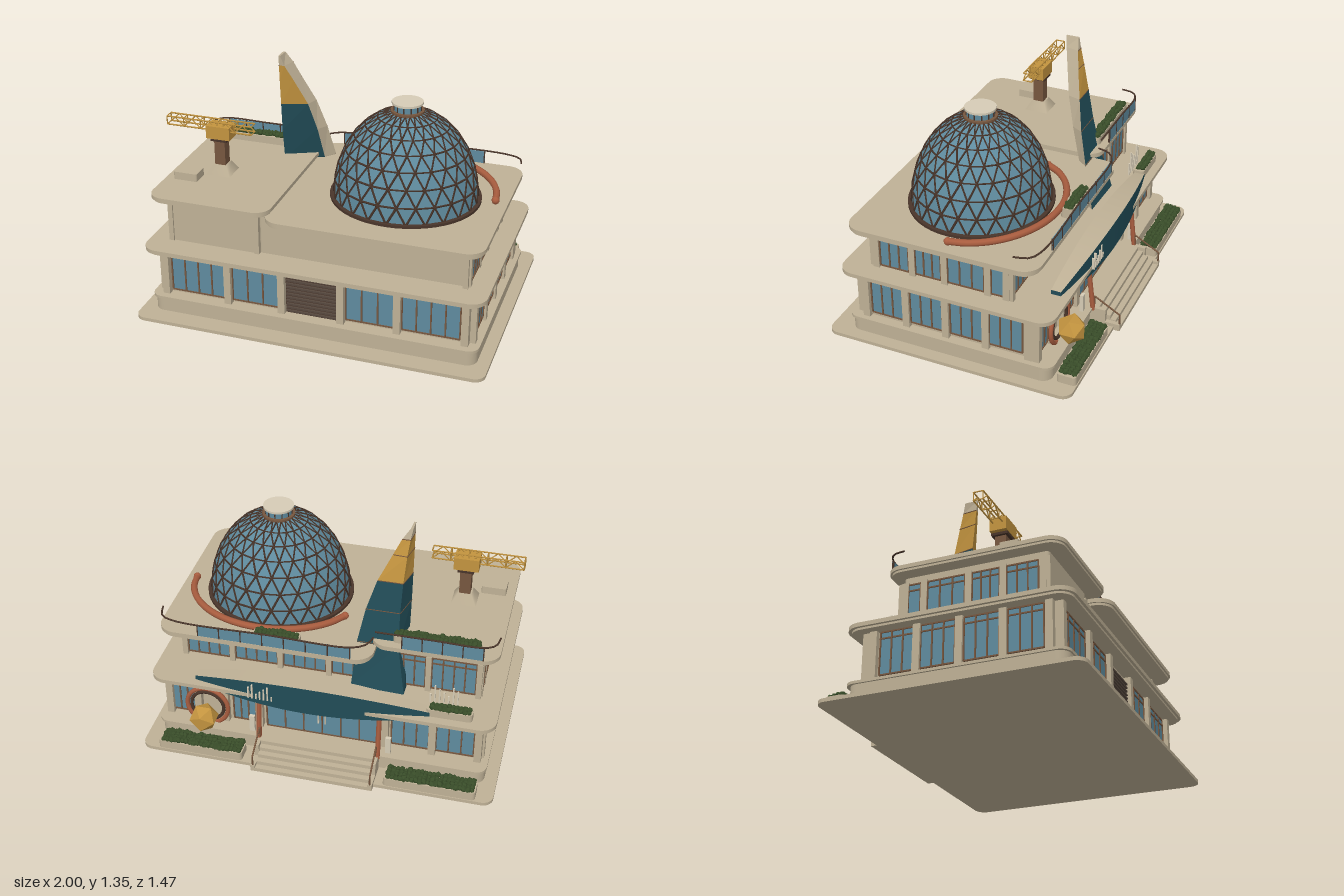
import * as THREE from 'three';
import { mergeGeometries } from 'three/addons/utils/BufferGeometryUtils.js';

const mat = (name, color, o = {}) => Object.assign(new THREE.MeshStandardMaterial({ color, ...o }), { name });
const V = (x, y, z) => new THREE.Vector3(x, y, z);

export function createModel() {
  const root = new THREE.Group();
  root.name = 'domedBuilding';
  const stone = mat('stone', 0xbfb196), glass = mat('glass', 0x5f8b9e), bronze = mat('darkBronze', 0x49352a);
  const frame = mat('windowFrame', 0x77573f), rust = mat('rust', 0xa95d3f), gold = mat('gold', 0xc3943f);
  const teal = mat('teal', 0x214c57), green = mat('foliage', 0x394d29), grille = mat('grille', 0x56483e);
  const pale = mat('paleStone', 0xd6ccb6);

  const add = (name, geo, m, parent = root) => {
    const mesh = new THREE.Mesh(geo, m);
    mesh.name = name;
    parent.add(mesh);
    return mesh;
  };
  const group = (name) => {
    const g = new THREE.Group();
    g.name = name;
    root.add(g);
    return g;
  };
  const box = (name, m, x0, x1, y0, y1, z0, z1, parent) => {
    const b = add(name, new THREE.BoxGeometry(x1 - x0, y1 - y0, z1 - z0), m, parent);
    b.position.set((x0 + x1) / 2, (y0 + y1) / 2, (z0 + z1) / 2);
    return b;
  };
  // flat slab with rounded plan corners
  const slab = (name, x0, x1, y0, y1, z0, z1, r, m = stone) => {
    const s = new THREE.Shape(), a = -z1, b = -z0, H = Math.PI / 2;
    s.absarc(x1 - r, a + r, r, -H, 0);
    s.absarc(x1 - r, b - r, r, 0, H);
    s.absarc(x0 + r, b - r, r, H, 2 * H);
    s.absarc(x0 + r, a + r, r, 2 * H, 3 * H);
    const g = new THREE.ExtrudeGeometry(s, { depth: y1 - y0, bevelEnabled: false, curveSegments: 8 });
    g.rotateX(-H);
    return add(name, g.translate(0, y0, 0), m);
  };
  const barGeo = (a, b, r, n = 4) => {
    const d = b.clone().sub(a);
    const g = new THREE.CylinderGeometry(r, r, d.length(), n);
    g.applyQuaternion(new THREE.Quaternion().setFromUnitVectors(V(0, 1, 0), d.normalize()));
    const c = a.clone().add(b).multiplyScalar(0.5);
    return g.translate(c.x, c.y, c.z);
  };
  const tube = (name, pts, r, m, parent) =>
    add(name, new THREE.TubeGeometry(new THREE.CatmullRomCurve3(pts), pts.length * 5, r, 8), m, parent);

  // framed window: centre on the wall, width, height, panes, heading
  const windowBay = (x, y, z, w, h, n, rot) => {
    const g = group('window');
    g.position.set(x, y, z);
    g.rotation.y = rot;
    box('pane', glass, -w / 2, w / 2, -h / 2, h / 2, -0.004, 0.004, g);
    for (let i = 0; i <= n; i++) {
      const px = -w / 2 + (w * i) / n;
      box('mullion', frame, px - 0.004, px + 0.004, -h / 2, h / 2, 0, 0.01, g);
    }
    for (const py of [-h / 2, h / 2 - 0.035, h / 2]) box('rail', frame, -w / 2, w / 2, py - 0.004, py + 0.004, 0, 0.009, g);
  };
  const R = Math.PI / 2;

  // ground, plinth, floors and roofs
  slab('groundSlab', -1, 1, 0, 0.02, -0.7, 0.73, 0.06);
  slab('plinth', -0.93, 0.93, 0.02, 0.1, -0.56, 0.62, 0.06);
  slab('plinthCap', -0.94, 0.94, 0.1, 0.115, -0.575, 0.63, 0.06);
  slab('groundFloor', -0.885, 0.885, 0.115, 0.39, -0.46, 0.55, 0.02);
  slab('floorLedge', -0.955, 0.955, 0.385, 0.4, -0.565, 0.645, 0.08);
  slab('floorLedgeTop', -0.97, 0.97, 0.397, 0.42, -0.58, 0.66, 0.09);
  slab('upperFloorRight', -0.33, 0.84, 0.42, 0.66, -0.3, 0.49, 0.02);
  slab('upperFloorLeft', -0.85, -0.32, 0.42, 0.7, -0.3, 0.505, 0.02);
  slab('roofRight', -0.26, 0.93, 0.648, 0.664, -0.47, 0.61, 0.09);
  slab('roofRightTop', -0.27, 0.94, 0.662, 0.685, -0.48, 0.62, 0.1);
  slab('roofLeft', -0.93, -0.25, 0.686, 0.7, -0.36, 0.595, 0.08);
  slab('roofLeftTop', -0.94, -0.24, 0.698, 0.72, -0.37, 0.605, 0.09);
  slab('roofVent', -0.89, -0.75, 0.72, 0.765, 0.25, 0.355, 0.01);

  // front windows, pilasters and service grille
  for (const s of [-1, 1]) {
    windowBay(s * 0.67, 0.255, 0.556, 0.32, 0.24, 4, 0);
    windowBay(s * 0.33, 0.255, 0.556, 0.27, 0.24, 3, 0);
    for (const x of [0.17, 0.487, 0.86]) box('frontPilaster', stone, s * x - 0.02, s * x + 0.02, 0.115, 0.39, 0.54, 0.59);
  }
  box('grillePanel', bronze, -0.15, 0.15, 0.115, 0.355, 0.545, 0.56);
  for (let i = 0; i < 11; i++) box('grilleSlat', grille, -0.145, 0.145, 0.125 + i * 0.021, 0.135 + i * 0.021, 0.555, 0.572);
  for (const x of [-0.845, -0.335, 0.835]) box('upperPilaster', stone, x - 0.014, x + 0.014, 0.42, 0.655, 0.48, 0.515);

  // side windows and pilasters
  for (const s of [-1, 1]) {
    for (const z of [0.4, 0.165, -0.073, -0.3]) windowBay(s * 0.89, 0.26, z, 0.19, 0.235, 3, s * R);
    for (const z of [0.525, 0.283, 0.047, -0.187, -0.43])
      box('sidePilaster', stone, s * 0.89 - 0.022, s * 0.89 + 0.022, 0.115, 0.39, z - 0.02, z + 0.02);
    for (const [z, w] of [[0.365, 0.17], [0.165, 0.15], [-0.055, 0.21], [-0.235, 0.07]])
      windowBay(s * 0.848, 0.54, z, w, 0.205, w > 0.1 ? 3 : 1, s * R);
    for (const z of [0.475, 0.26, 0.07, -0.18, -0.285])
      box('upperSidePilaster', stone, s * 0.845 - 0.015, s * 0.845 + 0.015, 0.42, 0.655, z - 0.018, z + 0.018);
  }

  // entrance side windows
  for (let i = 0; i < 6; i++) windowBay(-0.7 + i * 0.28, 0.54, -0.304, 0.245, 0.205, 4, Math.PI);
  for (let i = 0; i < 7; i++) box('rearUpperPilaster', stone, -0.855 + i * 0.28, -0.825 + i * 0.28, 0.42, 0.655, -0.325, -0.29);
  windowBay(0, 0.25, -0.466, 0.64, 0.265, 6, Math.PI);
  for (const x of [-0.75, -0.5, 0.45, 0.81]) windowBay(x, 0.255, -0.466, x < 0 ? 0.21 : 0.13, 0.24, 3, Math.PI);
  for (const x of [-0.88, -0.625, -0.36, 0.36, 0.56, 0.72, 0.89])
    box('rearPilaster', stone, x - 0.02, x + 0.02, 0.115, 0.39, -0.495, -0.45);
  for (const x of [-0.02, 0.02]) box('doorHandle', pale, x - 0.004, x + 0.004, 0.2, 0.27, -0.485, -0.474);

  // entrance stairs, handrails and leaning posts
  for (let i = 0; i < 5; i++) box('step', stone, -0.32, 0.32, 0, 0.023 * (i + 1), -0.735 + i * 0.032, -0.55);
  for (const s of [-1, 1]) {
    box('stairCheek', stone, s * 0.333 - 0.013, s * 0.333 + 0.013, 0, 0.04, -0.735, -0.65);
    box('stairCheekUpper', stone, s * 0.333 - 0.013, s * 0.333 + 0.013, 0, 0.115, -0.65, -0.55);
    const a = V(s * 0.333, 0.1, -0.73), b = V(s * 0.333, 0.185, -0.58);
    add('handrail', mergeGeometries([barGeo(a, b, 0.005, 6), barGeo(V(a.x, 0.02, a.z), a, 0.005), barGeo(V(b.x, 0.1, b.z), b, 0.005)]), frame);
    add('leaningPost', barGeo(V(s * 0.34, 0.1, -0.575), V(s * 0.34, 0.39, -0.54), 0.015, 6), rust);
    box('infoKiosk', pale, s * 0.39 - 0.015, s * 0.39 + 0.015, 0.115, 0.22, -0.54, -0.52);
  }

  // curved entrance canopy
  const canopy = new THREE.BoxGeometry(1.32, 1, 1, 28, 1, 1), p = canopy.attributes.position;
  for (let i = 0; i < p.count; i++) {
    const u = p.getX(i) / 0.66, k = 1 - u * u;
    p.setXYZ(i, p.getX(i) + 0.05, p.getY(i) > 0 ? 0.445 + 0.08 * k : 0.4 - 0.045 * k, p.getZ(i) > 0 ? -0.475 : -0.53 - 0.065 * k);
  }
  canopy.computeVertexNormals();
  add('canopy', canopy, [teal, teal, stone, teal, teal, teal]);
  for (let i = 0; i < 7; i++) {
    const h = 0.03 + 0.02 * ((i * 3) % 4);
    box('canopyRelief', pale, 0.25 + i * 0.022, 0.258 + i * 0.022, 0.4, 0.4 + h, -0.594, -0.57);
    box('ledgeSpire', pale, -0.6 - i * 0.025, -0.592 - i * 0.025, 0.42, 0.47 + h, -0.44, -0.432);
  }

  // golden polyhedron and its wall ring
  add('goldPolyhedron', new THREE.IcosahedronGeometry(0.084, 0).translate(0.66, 0.19, -0.575), gold);
  add('ringOuter', new THREE.TorusGeometry(0.12, 0.013, 8, 32).translate(0.66, 0.22, -0.505), rust);
  add('ringInner', new THREE.TorusGeometry(0.095, 0.01, 8, 32).translate(0.66, 0.22, -0.505), bronze);

  // planters with clipped foliage
  let seed = 7;
  const rnd = () => (seed = (seed * 16807) % 2147483647) / 2147483647;
  const planter = (x0, x1, z0, z1, y, h) => {
    slab('planter', x0, x1, y, y + h, z0, z1, 0.02);
    const clumps = [];
    for (let x = x0 + 0.02; x < x1 - 0.01; x += 0.022)
      for (let z = z0 + 0.018; z < z1 - 0.01; z += 0.024)
        clumps.push(new THREE.IcosahedronGeometry(0.014 + 0.008 * rnd(), 0).rotateY(rnd() * 3).translate(x, y + h + 0.012 * rnd(), z));
    add('foliage', mergeGeometries(clumps), green);
  };
  planter(-0.905, -0.395, -0.695, -0.585, 0.02, 0.05);
  planter(0.41, 0.9, -0.695, -0.585, 0.02, 0.05);
  planter(-0.84, -0.59, -0.53, -0.46, 0.42, 0.045);
  planter(-0.84, -0.36, -0.325, -0.26, 0.72, 0.045);
  planter(0.13, 0.39, -0.46, -0.39, 0.685, 0.055);

  // roof railings
  tube('railLeft', [V(-0.93, 0.805, -0.26), V(-0.915, 0.805, -0.33), V(-0.86, 0.805, -0.365), V(-0.6, 0.805, -0.367), V(-0.27, 0.805, -0.367)], 0.005, bronze);
  tube('railRight', [V(-0.26, 0.76, -0.36), V(-0.235, 0.76, -0.43), V(-0.16, 0.76, -0.474), V(0.3, 0.76, -0.475), V(0.82, 0.76, -0.475), V(0.91, 0.76, -0.44), V(0.935, 0.76, -0.36)], 0.005, bronze);
  box('railGlassLeft', glass, -0.86, -0.42, 0.72, 0.8, -0.369, -0.363);
  box('railGlassRight', glass, -0.16, 0.7, 0.685, 0.757, -0.478, -0.472);
  for (let i = 0; i < 8; i++) box('railPost', bronze, -0.16 + i * 0.122, -0.154 + i * 0.122, 0.685, 0.757, -0.48, -0.47);
  for (let i = 0; i < 5; i++) box('railPost', bronze, -0.86 + i * 0.11, -0.854 + i * 0.11, 0.72, 0.805, -0.371, -0.361);

  // lattice dome: staggered rings of triangles and bars
  const dome = group('dome');
  dome.position.set(0.38, 0.69, 0.072);
  const N = 24, K = 7, top = 1.345, bars = [], tri = [];
  const P = (j, k, e = 0) => {
    const t = ((j + k / 2) * 2 * Math.PI) / N, f = (k / K) * top, c = Math.cos(f);
    return V((0.4 + e) * c * Math.cos(t), (0.51 + e) * Math.sin(f), (0.377 + e) * c * Math.sin(t));
  };
  for (let k = 0; k < K; k++)
    for (let j = 0; j < N; j++) {
      const a = P(j, k), b = P(j + 1, k), c = P(j, k + 1), d = P(j + 1, k + 1);
      for (const v of [a, c, b, b, c, d]) tri.push(v.x, v.y, v.z);
      const r = 0.0066 - 0.0004 * k;
      bars.push(barGeo(a, b, r), barGeo(a, c, r), barGeo(b, c, r));
    }
  const shell = new THREE.BufferGeometry();
  shell.setAttribute('position', new THREE.Float32BufferAttribute(tri, 3));
  shell.computeVertexNormals();
  add('domeGlass', shell, glass, dome);
  add('domeLattice', mergeGeometries(bars), bronze, dome);
  add('domeBaseRing', new THREE.CylinderGeometry(0.42, 0.42, 0.02, 48), bronze, dome).scale.z = 0.945;
  const lantern = (name, r, y0, y1, m) => add(name, new THREE.CylinderGeometry(r, r, y1 - y0, 24).translate(0, (y0 + y1) / 2, 0), m, dome);
  lantern('lanternBase', 0.092, 0.488, 0.508, frame);
  lantern('lanternGlass', 0.075, 0.508, 0.545, glass);
  lantern('lanternCap', 0.086, 0.543, 0.555, pale);
  for (let i = 0; i < 12; i++)
    add('lanternPost', new THREE.BoxGeometry(0.006, 0.04, 0.006).translate(0.075, 0.526, 0).rotateY((i * Math.PI) / 6), bronze, dome);

  // rust pipe sweeping round the dome
  const pipe = [];
  for (let i = 0; i <= 12; i++) {
    const t = Math.PI * (1.14 + 0.85 * (i / 12));
    pipe.push(V(0.39 + 0.485 * Math.cos(t), 0.712 + 0.022 * Math.sin((Math.PI * i) / 12), 0.045 + 0.43 * Math.sin(t)));
  }
  tube('roofPipe', pipe, 0.019, rust);
  for (const e of [pipe[0], pipe[12]]) add('pipeEnd', new THREE.SphereGeometry(0.022, 10, 8).translate(e.x, e.y, e.z), rust);

  // leaning fin lofted from four-cornered sections: y, then x,z pairs
  const fin = [
    [0.42, -0.44, -0.28, -0.2, -0.3, -0.14, -0.375, -0.44, -0.385],
    [0.69, -0.42, -0.16, -0.21, -0.26, -0.16, -0.32, -0.39, -0.32],
    [0.88, -0.42, -0.13, -0.235, -0.21, -0.197, -0.275, -0.385, -0.275],
    [1.05, -0.42, -0.115, -0.275, -0.165, -0.25, -0.24, -0.39, -0.24],
    [1.2, -0.42, -0.102, -0.345, -0.125, -0.322, -0.2, -0.4, -0.205],
    [1.29, -0.42, -0.095, -0.39, -0.1, -0.365, -0.18, -0.41, -0.18],
    [1.35, -0.42, -0.09, -0.41, -0.09, -0.405, -0.165, -0.42, -0.165],
  ];
  const corner = (s, c) => V(s[1 + 2 * (c % 4)], s[0], s[2 + 2 * (c % 4)]);
  const faces = new Map([[teal, []], [gold, []], [stone, []]]), seams = [];
  const quad = (m, a, b, c, d) => [a, b, c, a, c, d].forEach((v) => faces.get(m).push(v.x, v.y, v.z));
  for (let i = 0; i < fin.length - 1; i++)
    for (let c = 0; c < 4; c++) {
      const a = corner(fin[i], c), b = corner(fin[i], c + 1);
      quad(c === 1 || i === 5 ? stone : i < 3 ? teal : gold, a, b, corner(fin[i + 1], c + 1), corner(fin[i + 1], c));
      if (c > 1 && i > 0) seams.push(barGeo(a, b, 0.003));
    }
  quad(stone, ...[0, 1, 2, 3].map((c) => corner(fin[6], c)));
  for (const [m, pos] of faces) {
    const g = new THREE.BufferGeometry();
    g.setAttribute('position', new THREE.Float32BufferAttribute(pos, 3));
    g.computeVertexNormals();
    add('fin', g, m);
  }
  add('finSeams', mergeGeometries(seams), frame);

  // roof crane with lattice jib
  const crane = group('crane');
  const foot = add('craneFoot', new THREE.CylinderGeometry(0.055, 0.1, 0.055, 4).rotateY(R / 2), stone, crane);
  foot.position.set(-0.67, 0.747, 0.175);
  box('craneMast', frame, -0.7, -0.637, 0.77, 0.94, 0.145, 0.207, crane);
  box('craneCollar', bronze, -0.715, -0.622, 0.92, 0.935, 0.13, 0.222, crane);
  box('craneCab', gold, -0.74, -0.6, 0.935, 1.01, 0.13, 0.225, crane);
  const jib = [];
  for (const z of [0.15, 0.203]) {
    for (const y of [0.98, 1.028]) jib.push(barGeo(V(-0.985, y, z), V(-0.475, y, z), 0.005));
    for (let i = 0; i < 10; i++) {
      const x = -0.985 + i * 0.051;
      jib.push(barGeo(V(x, i % 2 ? 1.028 : 0.98, z), V(x + 0.051, i % 2 ? 0.98 : 1.028, z), 0.0035));
      if (i % 2 === 0) jib.push(barGeo(V(x, 0.98, z), V(x, 1.028, z), 0.0035));
    }
  }
  for (let i = 0; i <= 5; i++)
    for (const y of [0.98, 1.028]) jib.push(barGeo(V(-0.985 + i * 0.102, y, 0.15), V(-0.985 + i * 0.102, y, 0.203), 0.004));
  add('craneJib', mergeGeometries(jib), gold, crane);
  return root;
}
